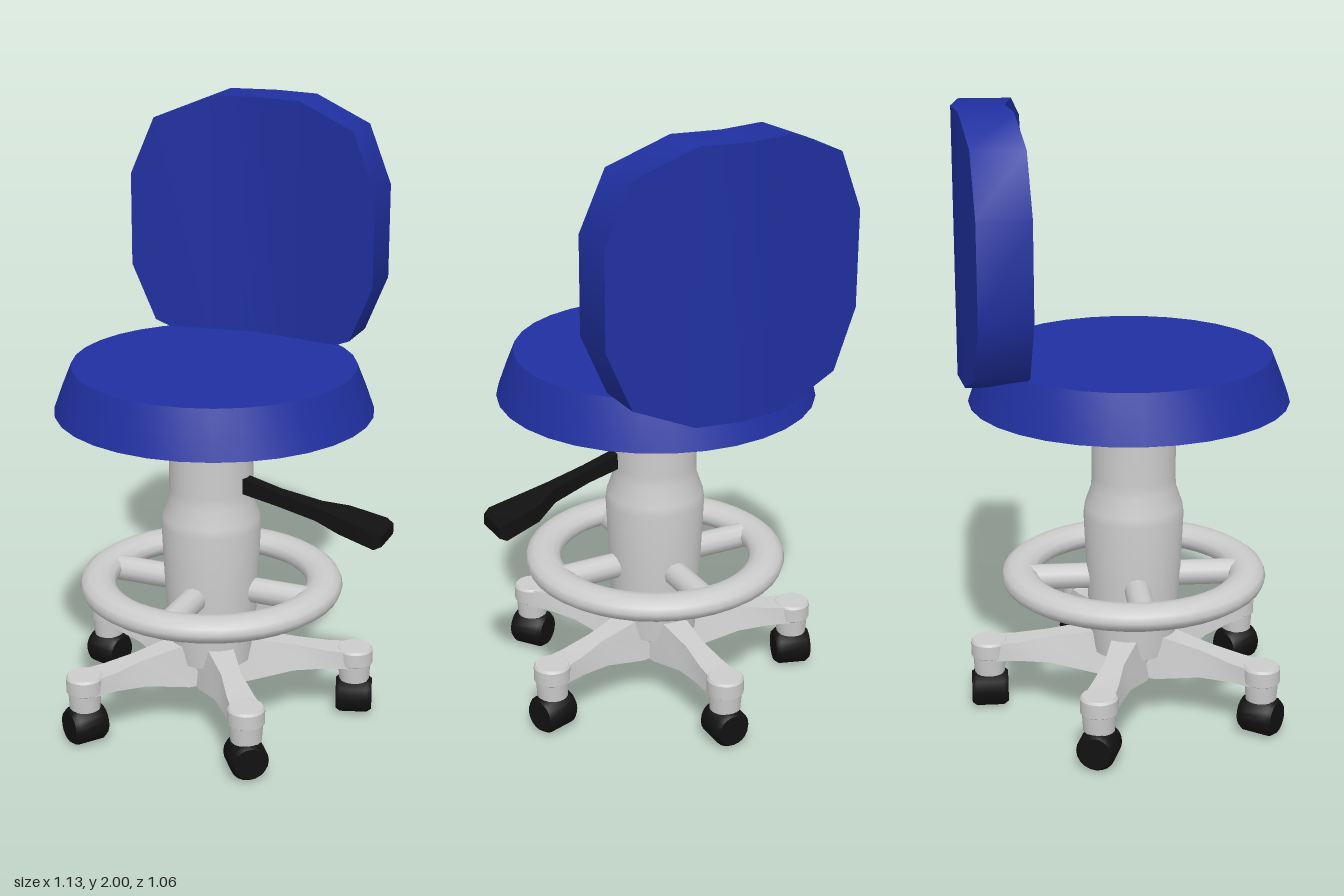
import * as THREE from 'three';
import { toCreasedNormals } from 'three/addons/utils/BufferGeometryUtils.js';

const grey = new THREE.MeshStandardMaterial({ color: 0xcccccc });
const blue = new THREE.MeshStandardMaterial({ color: 0x2030a0 });
const black = new THREE.MeshStandardMaterial({ color: 0x111111 });

const CX = -0.045, CZ = 0.03; // axis of the pedestal

function add(parent, name, geometry, material, x = 0, y = 0, z = 0) {
  const mesh = new THREE.Mesh(geometry, material);
  mesh.name = name;
  mesh.position.set(x, y, z);
  parent.add(mesh);
  return mesh;
}

// Four-cornered cross-section at x, wTop and wBottom are widths along z
function section(x, top, bottom, z, wTop, wBottom = wTop) {
  return [
    [x, top, z + wTop / 2], [x, bottom, z + wBottom / 2],
    [x, bottom, z - wBottom / 2], [x, top, z - wTop / 2],
  ];
}

// Skin over sections ordered along +x, closed at both ends
function loft(sections, crease) {
  const index = [];
  for (let i = 0; i < sections.length - 1; i++) {
    for (let j = 0; j < 4; j++) {
      const a = i * 4 + j, b = i * 4 + (j + 1) % 4;
      index.push(a, b, b + 4, a, b + 4, a + 4);
    }
  }
  const e = (sections.length - 1) * 4;
  index.push(0, 2, 1, 0, 3, 2, e, e + 1, e + 2, e, e + 2, e + 3);
  const geometry = new THREE.BufferGeometry();
  geometry.setAttribute('position', new THREE.Float32BufferAttribute(sections.flat(2), 3));
  geometry.setIndex(index);
  return toCreasedNormals(geometry, crease);
}

// Turned part, points are [radius, y] from bottom to top
function turned(points, sides, crease = 0.6) {
  const profile = points.map(([r, y]) => new THREE.Vector2(r, y));
  return toCreasedNormals(new THREE.LatheGeometry(profile, sides), crease);
}

export function createModel() {
  const chair = new THREE.Group();
  chair.name = 'swivelChair';

  // Round seat with sloping rim
  add(chair, 'seat', turned(
    [[0, 1.06], [0.515, 1.06], [0.488, 1.135], [0.458, 1.21], [0, 1.21]], 32,
  ), blue, -0.04, 0, 0.015);

  // Backrest: outline of half-heights across x, bent to a shallow V
  const half = [[0, 0.425], [0.1525, 0.425], [0.3475, 0.345], [0.4275, 0.155]];
  const columns = [
    ...half.slice(1).reverse().map(([x, h]) => [-x, h]),
    ...half,
  ];
  add(chair, 'backrest', loft(columns.map(([x, h]) =>
    section(x, 1.575 + h, 1.575 - h, -0.448 + 0.152 * Math.abs(x), 0.165)), 0.9), blue, -0.047);

  // Pedestal column with its wider lower sleeve
  add(chair, 'column', turned([
    [0, 0.2], [0.14, 0.2], [0.145, 0.27], [0.164, 0.67], [0.16, 0.7],
    [0.139, 0.76], [0.137, 0.8], [0.137, 1.07], [0, 1.07],
  ], 32), grey, CX, 0, CZ);

  // Foot ring and its four spokes
  const ring = new THREE.Group();
  ring.name = 'footRing';
  ring.position.set(CX, 0.458, CZ);
  chair.add(ring);
  const hoop = new THREE.TorusGeometry(0.375, 0.06, 12, 40);
  hoop.rotateX(Math.PI / 2);
  hoop.scale(1, 0.7, 1);
  add(ring, 'hoop', hoop, grey);
  const spoke = new THREE.CylinderGeometry(0.042, 0.042, 0.26, 12);
  spoke.rotateZ(Math.PI / 2);
  for (let i = 0; i < 4; i++) {
    const arm = new THREE.Group();
    arm.rotation.y = i * Math.PI / 2;
    ring.add(arm);
    add(arm, 'spoke', spoke, grey, 0.24, -0.008, 0);
  }

  // Five-legged star base with casters
  const base = new THREE.Group();
  base.name = 'base';
  base.position.set(CX, 0, CZ);
  chair.add(base);
  add(base, 'hub', new THREE.CylinderGeometry(0.14, 0.1, 0.15, 20), grey, 0, 0.2, 0);
  const legShape = loft([
    section(0, 0.28, 0.12, 0, 0.1, 0.16),
    section(0.13, 0.268, 0.13, 0, 0.085, 0.15),
    section(0.28, 0.25, 0.165, 0, 0.065, 0.11),
    section(0.39, 0.235, 0.175, 0, 0.085, 0.105),
    section(0.47, 0.232, 0.175, 0, 0.095, 0.105),
  ], 0.6);
  const housing = turned([[0, 0.12], [0.05, 0.12], [0.054, 0.178], [0.06, 0.182],
    [0.06, 0.228], [0.054, 0.236], [0, 0.236]], 20);
  const wheel = turned([[0, -0.06], [0.052, -0.06], [0.063, -0.045],
    [0.063, 0.045], [0.052, 0.06], [0, 0.06]], 20, 0.9);
  wheel.rotateZ(Math.PI / 2);
  for (let i = 0; i < 5; i++) {
    const leg = new THREE.Group();
    leg.name = 'leg' + (i + 1);
    leg.rotation.y = Math.PI / 2 - i * Math.PI * 2 / 5;
    base.add(leg);
    add(leg, 'legArm', legShape, grey);
    add(leg, 'casterHousing', housing, grey, 0.48, 0, 0);
    add(leg, 'casterWheel', wheel, black, 0.48, 0.063, 0);
  }

  // Height lever: slim stem ending in a paddle
  add(chair, 'heightLever', loft([
    section(0.04, 0.865, 0.81, 0.055, 0.045),
    section(0.2, 0.82, 0.775, 0.048, 0.045),
    section(0.33, 0.79, 0.742, 0.035, 0.06),
    section(0.41, 0.768, 0.712, 0.015, 0.115),
    section(0.53, 0.738, 0.68, 0.01, 0.14),
    section(0.553, 0.725, 0.69, 0.008, 0.12),
  ], 0.7), black);

  return chair;
}
